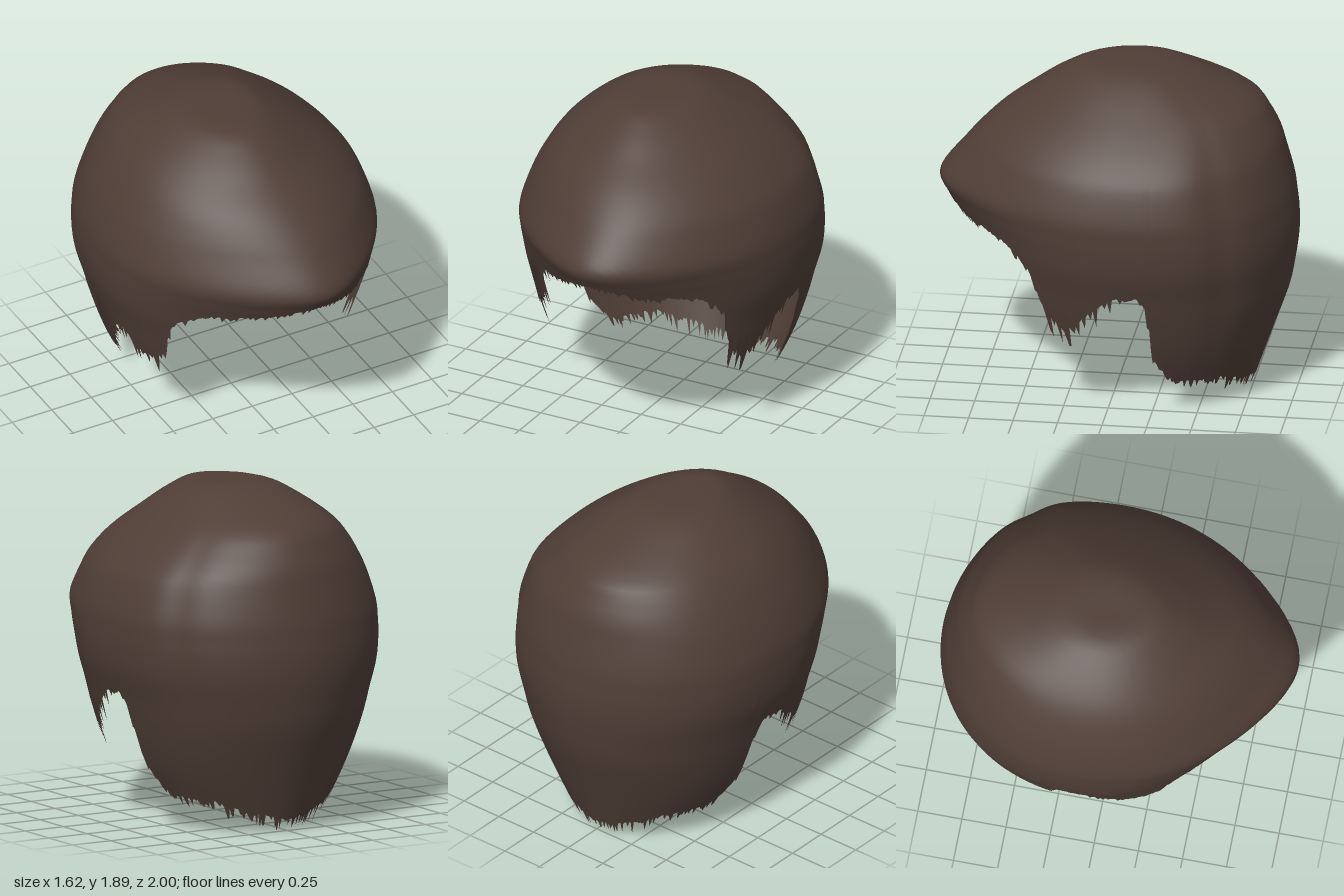
import * as THREE from 'three';

const CENTRE_Z = -0.1;
const COLUMNS = 400;
const ROWS = 40;

// Horizontal sections from crown to nape: [height, half width, front z, back z]
const sections = [
  [1.89, 0, -0.1, -0.1], [1.885, 0.2, 0.2, -0.3], [1.81, 0.35, 0.37, -0.52],
  [1.7, 0.5, 0.53, -0.765], [1.6, 0.605, 0.67, -0.845], [1.5, 0.685, 0.78, -0.9],
  [1.4, 0.745, 0.87, -0.93], [1.23, 0.8, 1.0, -0.975], [1.12, 0.81, 0.96, -0.99],
  [1.03, 0.81, 0.91, -1.0], [0.9, 0.795, 0.86, -1.0], [0.75, 0.75, 0.83, -0.98],
  [0.6, 0.71, 0.8, -0.95], [0.4, 0.645, 0.72, -0.88], [0.2, 0.55, 0.62, -0.81],
  [0, 0.43, 0.5, -0.74],
];

// Hem line by angle from the front: [degrees, height, strand length]
const hem = [
  [0, 1.13, 0.02], [14, 1.1, 0.03], [25, 1.06, 0.03], [45, 1.02, 0.03],
  [54, 0.92, 0.04], [58, 0.82, 0.07], [61, 0.64, 0.12], [66, 0.57, 0.13],
  [72, 0.56, 0.13], [77, 0.64, 0.1], [84, 0.73, 0.08], [88, 0.77, 0.04],
  [96, 0.78, 0.03], [99, 0.72, 0.06], [101, 0.58, 0.05], [102, 0.38, 0.05],
  [108, 0.26, 0.04], [114, 0.2, 0.04], [137, 0.19, 0.05], [152, 0.13, 0.08],
  [180, 0.07, 0.07],
];

function seeded(seed) {
  return () => {
    seed = (seed * 16807) % 2147483647;
    return seed / 2147483647;
  };
}

const sideCurve = new THREE.CatmullRomCurve3(
  sections.map(([y, w, f]) => new THREE.Vector3(w, y, f)), false, 'catmullrom', 0.5);
const backCurve = new THREE.CatmullRomCurve3(
  sections.map(([y, w, f, b]) => new THREE.Vector3(w, y, b)), false, 'catmullrom', 0.5);

// Curve parameter at which the profile reaches a given height
function parameterAt(y) {
  let low = 0.07, high = 1;
  for (let i = 0; i < 18; i++) {
    const mid = (low + high) / 2;
    if (sideCurve.getPoint(mid).y > y) low = mid;
    else high = mid;
  }
  return high;
}

function hemAt(degrees) {
  const i = Math.max(1, hem.findIndex(([a]) => a >= degrees));
  const [a0, y0, l0] = hem[i - 1], [a1, y1, l1] = hem[i];
  const t = (degrees - a0) / (a1 - a0);
  return { y: y0 + (y1 - y0) * t, strand: l0 + (l1 - l0) * t };
}

// Point on the hair surface for an angle and a curve parameter
function surfacePoint(angle, s) {
  const side = sideCurve.getPoint(s);
  const back = backCurve.getPoint(s);
  const cos = Math.cos(angle), sin = Math.sin(angle);
  const depth = cos > 0 ? side.z - CENTRE_Z : CENTRE_Z - back.z;
  // Fringe tapers at the brow, back corners are fuller on the left
  const taper = 0.3 - 0.17 * THREE.MathUtils.smoothstep(side.y, 1.25, 1.6);
  const corner = sin > 0 ? 0.06 : 0.025;
  const fullness = cos > 0 ? 1 - taper * cos ** 3 : 1 + corner * Math.sin(2 * angle) ** 2;
  // One shallow combed furrow behind the left ear
  const furrow = 1 - 0.02 * Math.exp(-(((angle - 2.25) / 0.13) ** 2)) * Math.sin(Math.PI * s);
  // Crown leans to the right, fringe tip to the left
  const lean = -0.045 * THREE.MathUtils.smoothstep(side.y, 1.4, 1.75);
  const tipShift = 0.06 * Math.max(0, cos) ** 3 * Math.min(1, side.x / 0.8);
  return [
    side.x * sin * fullness * furrow + lean + tipShift,
    side.y,
    CENTRE_Z + depth * cos * furrow,
  ];
}

function hairGeometry() {
  const random = seeded(4271);
  const positions = [], indices = [];
  for (let c = 0; c < COLUMNS; c++) {
    const angle = (c / COLUMNS) * Math.PI * 2;
    const degrees = THREE.MathUtils.radToDeg(angle);
    const { y, strand } = hemAt(degrees > 180 ? 360 - degrees : degrees);
    const end = parameterAt(y);
    for (let r = 0; r < ROWS; r++) positions.push(...surfacePoint(angle, (end * r) / ROWS));
    // Ragged strand tips along the hem
    const tip = parameterAt(Math.max(0.005, y - strand * 1.5 * random() ** 2.5));
    positions.push(...surfacePoint(angle, tip));
  }
  for (let c = 0; c < COLUMNS; c++) {
    const a = c * (ROWS + 1), b = ((c + 1) % COLUMNS) * (ROWS + 1);
    for (let r = 0; r < ROWS; r++) {
      if (r > 0) indices.push(a + r, a + r + 1, b + r);
      indices.push(b + r, a + r + 1, b + r + 1);
    }
  }
  const geometry = new THREE.BufferGeometry();
  geometry.setAttribute('position', new THREE.Float32BufferAttribute(positions, 3));
  geometry.setIndex(indices);
  geometry.computeVertexNormals();
  // Shared upward normal at the crown
  for (let c = 0; c < COLUMNS; c++) geometry.attributes.normal.setXYZ(c * (ROWS + 1), 0, 1, 0);
  return geometry;
}

export function createModel() {
  const group = new THREE.Group();
  group.name = 'hairpiece';
  const brown = new THREE.MeshStandardMaterial({ color: 0x4f3e36, side: THREE.DoubleSide });
  brown.name = 'dark brown hair';
  const hair = new THREE.Mesh(hairGeometry(), brown);
  hair.name = 'hairShell';
  group.add(hair);
  return group;
}
